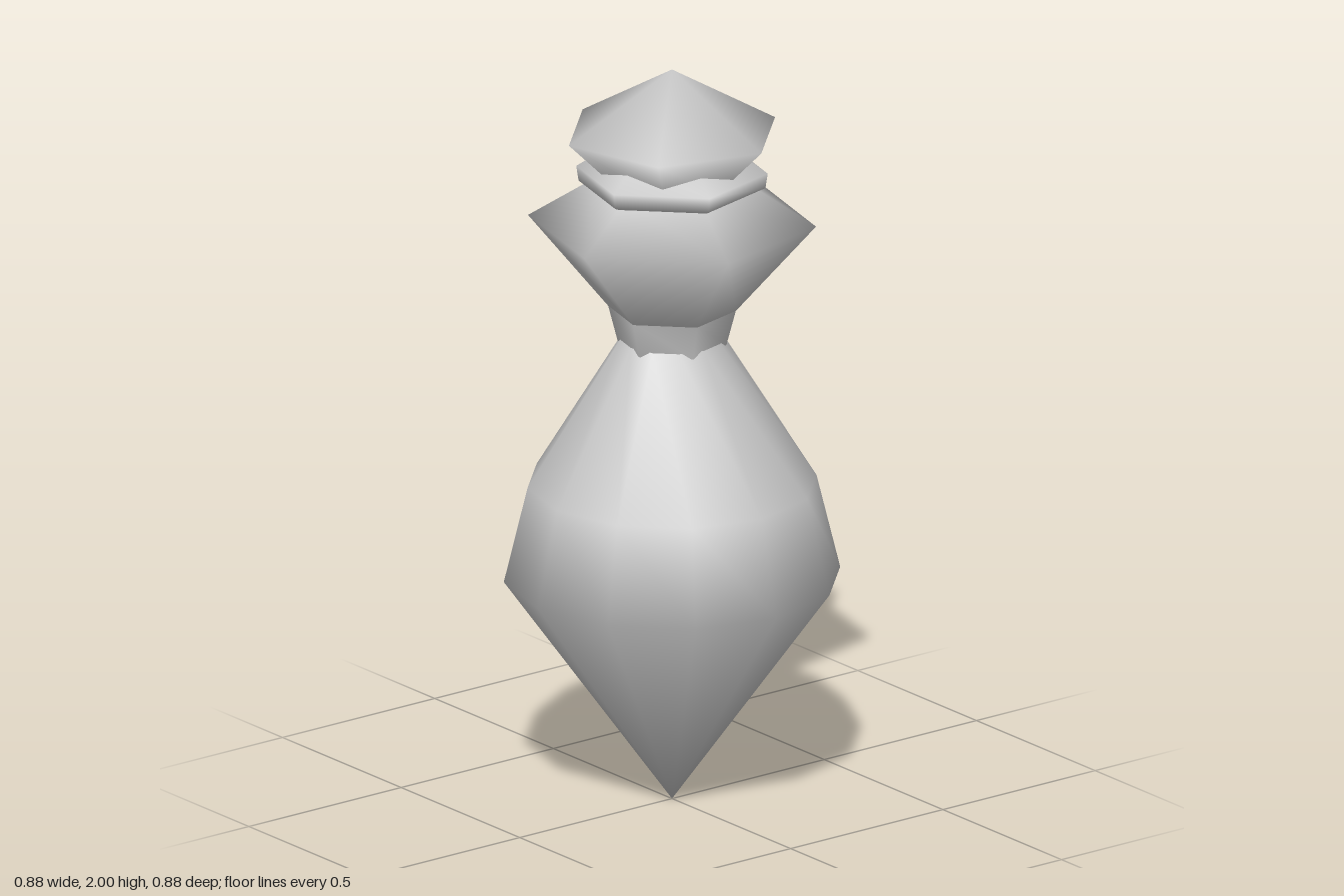
import * as THREE from 'three';
import { mergeVertices } from 'three/addons/utils/BufferGeometryUtils.js';

const material = new THREE.MeshStandardMaterial({ color: 0xcccccc, side: THREE.DoubleSide });

// Low-sided turned part with smooth normals; profile is [radius, y] from bottom to top
function turned(name, profile, sides, turnDegrees) {
  const points = profile.map(([r, y]) => new THREE.Vector2(r, y));
  let geometry = new THREE.LatheGeometry(points, sides, THREE.MathUtils.degToRad(turnDegrees));
  geometry.deleteAttribute('uv');
  geometry.deleteAttribute('normal');
  geometry = mergeVertices(geometry, 1e-4);
  geometry.computeVertexNormals();
  const mesh = new THREE.Mesh(geometry, material);
  mesh.name = name;
  return mesh;
}

export function createModel() {
  const group = new THREE.Group();
  group.name = 'finial';

  group.add(
    // Twelve-sided body tapering to a point at the bottom
    turned('body', [[0, 0], [0.44, 0.615], [0.378, 0.87], [0.135, 1.265]], 12, 0),
    // Six-sided neck, bulb and collar share one alignment
    turned('neck', [[0.142, 1.25], [0.168, 1.35]], 6, 15),
    turned('bulb', [[0.167, 1.345], [0.376, 1.585], [0.2, 1.695]], 6, 15),
    turned('collar', [[0.2, 1.665], [0.244, 1.685], [0.25, 1.725], [0.16, 1.785]], 6, 15),
    // Pointed cap, turned thirty degrees from the collar
    turned('cap', [[0.15, 1.69], [0.29, 1.83], [0, 2]], 6, 45),
  );

  return group;
}
